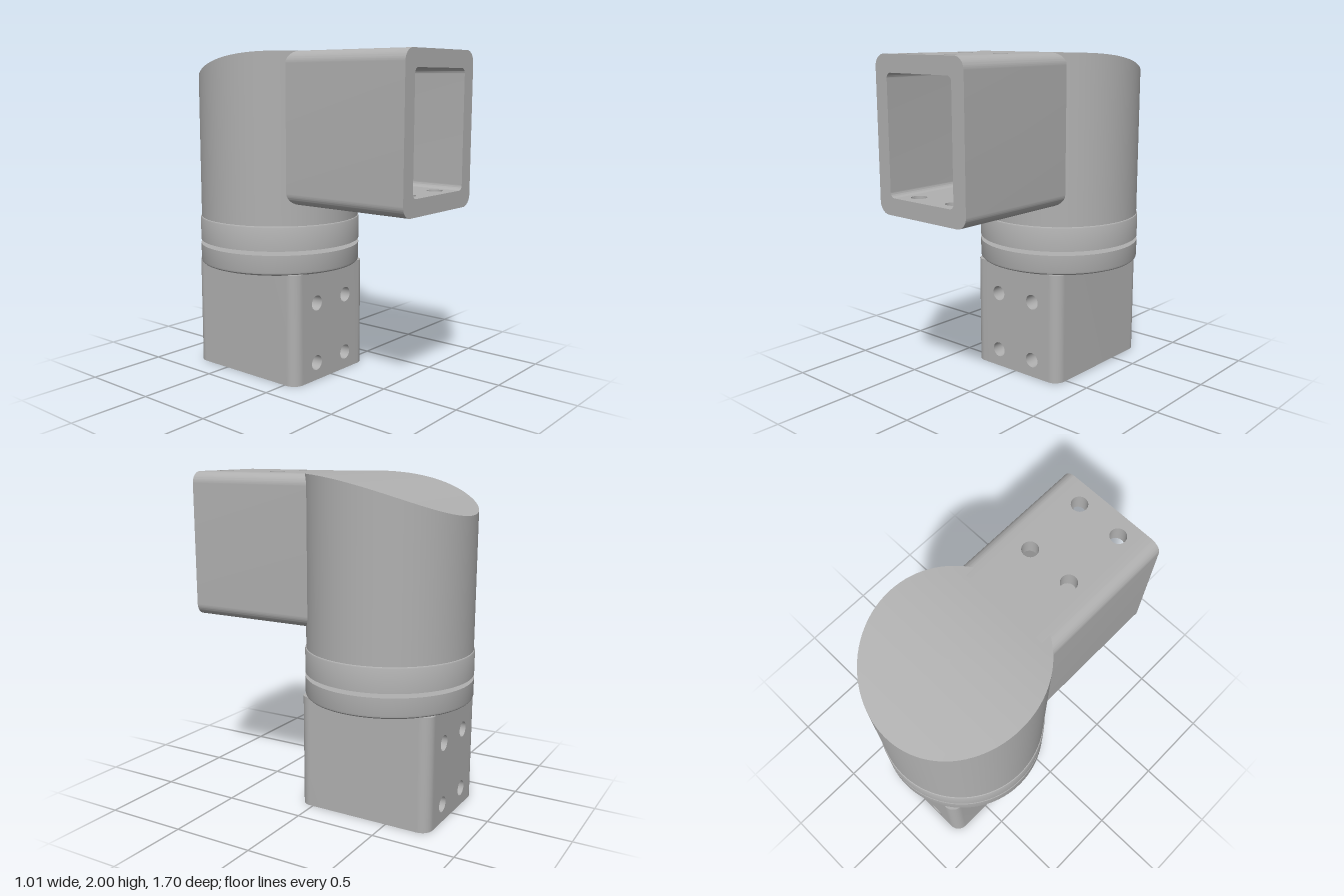
import * as THREE from 'three';
import { toCreasedNormals } from 'three/addons/utils/BufferGeometryUtils.js';

const AXIS_Z = -0.34; // axis of the round joint

export function createModel() {
  const model = new THREE.Group();
  const grey = new THREE.MeshStandardMaterial({ color: 0xb0b0b0 });
  grey.name = 'satin grey';

  function add(parent, name, geometry, x = 0, y = 0, z = 0) {
    const mesh = new THREE.Mesh(geometry, grey);
    mesh.name = name;
    mesh.position.set(x, y, z);
    parent.add(mesh);
    return mesh;
  }

  function extrude(shape, depth) {
    const g = new THREE.ExtrudeGeometry(shape, { depth, bevelEnabled: false, curveSegments: 12 });
    return toCreasedNormals(g, 0.6);
  }

  function rectangle(w, y0, y1, PathType = THREE.Shape) {
    return new PathType([[-w, y0], [w, y0], [w, y1], [-w, y1]].map(p => new THREE.Vector2(...p)));
  }

  // Rectangular socket along +z, drilled through its two broad walls
  function socket(name, H, length, frameZ) {
    const group = new THREE.Group();
    group.name = name;
    const W = 0.34, R = 0.07, r = 0.03, tx = 0.09, ty = 0.1;
    const iw = W - tx, ih = H - ty, seam = iw - r;

    // C-shaped side walls with rounded corners
    const side = new THREE.Shape();
    side.moveTo(seam, -H);
    side.lineTo(W - R, -H);
    side.absarc(W - R, -H + R, R, -Math.PI / 2, 0, false);
    side.lineTo(W, H - R);
    side.absarc(W - R, H - R, R, 0, Math.PI / 2, false);
    side.lineTo(seam, H);
    side.lineTo(seam, ih);
    side.absarc(iw - r, ih - r, r, Math.PI / 2, 0, true);
    side.lineTo(iw, -ih + r);
    side.absarc(iw - r, -ih + r, r, 0, -Math.PI / 2, true);
    side.closePath();
    const sideGeometry = extrude(side, length);
    add(group, 'leftSocketWall', sideGeometry);
    add(group, 'rightSocketWall', sideGeometry).rotation.z = Math.PI;

    // Drilled plates
    const plate = rectangle(seam, 0, length);
    for (const x of [-0.138, 0.138]) {
      for (const fromMouth of [0.11, 0.49]) {
        const hole = new THREE.Path();
        hole.absarc(x, length - fromMouth, 0.047, 0, Math.PI * 2, true);
        plate.holes.push(hole);
      }
    }
    const plateGeometry = extrude(plate, ty).rotateX(Math.PI / 2);
    add(group, 'drilledWallA', plateGeometry, 0, H, 0);
    add(group, 'drilledWallB', plateGeometry, 0, -ih, 0);

    // Inner stop frame at the closed end
    const frame = rectangle(iw, -ih, ih);
    frame.holes.push(rectangle(0.202, -ih + 0.05, ih - 0.05, THREE.Path));
    add(group, 'stopFrame', extrude(frame, 0.02), 0, 0, frameZ);
    model.add(group);
    return group;
  }

  const upper = socket('upperSocket', 0.445, 0.83, 0.14);
  upper.position.set(0, 1.555, 0.02);
  const lower = socket('lowerSocket', 0.43, 0.69, 0);
  lower.position.set(0, 0.69, AXIS_Z);
  lower.rotation.x = Math.PI / 2;

  // Round body whose top curves down toward the back
  const topY = z => 2 - (z < 0 ? 0.312 * z * z : 0);
  const wall = new THREE.CylinderGeometry(0.5, 0.5, 2, 96, 1, true);
  const wp = wall.attributes.position;
  for (let i = 0; i < wp.count; i++) {
    wp.setY(i, wp.getY(i) > 0 ? topY(wp.getZ(i) + AXIS_Z) : 0.97);
  }
  add(model, 'bodyWall', wall, 0, 0, AXIS_Z);

  const cap = new THREE.RingGeometry(0, 0.5, 96, 14).rotateX(-Math.PI / 2);
  const cp = cap.attributes.position;
  for (let i = 0; i < cp.count; i++) cp.setY(i, topY(cp.getZ(i) + AXIS_Z));
  cap.computeVertexNormals();
  add(model, 'bodyTop', cap, 0, 0, AXIS_Z);

  // Turned flanges and the swivel pin between them
  function turned(name, points) {
    const profile = points.map(p => new THREE.Vector2(...p));
    add(model, name, toCreasedNormals(new THREE.LatheGeometry(profile, 96), 0.5), 0, 0, AXIS_Z);
  }
  turned('lowerFlange', [[0, 0.685], [0.485, 0.685], [0.496, 0.689], [0.504, 0.697],
    [0.507, 0.708], [0.507, 0.81], [0, 0.81]]);
  turned('upperFlange', [[0, 0.835], [0.507, 0.835], [0.507, 0.975], [0.504, 0.982],
    [0.498, 0.985], [0, 0.985]]);
  add(model, 'swivelPin', new THREE.CylinderGeometry(0.175, 0.175, 0.05, 48), 0, 0.8225, AXIS_Z);

  return model;
}
